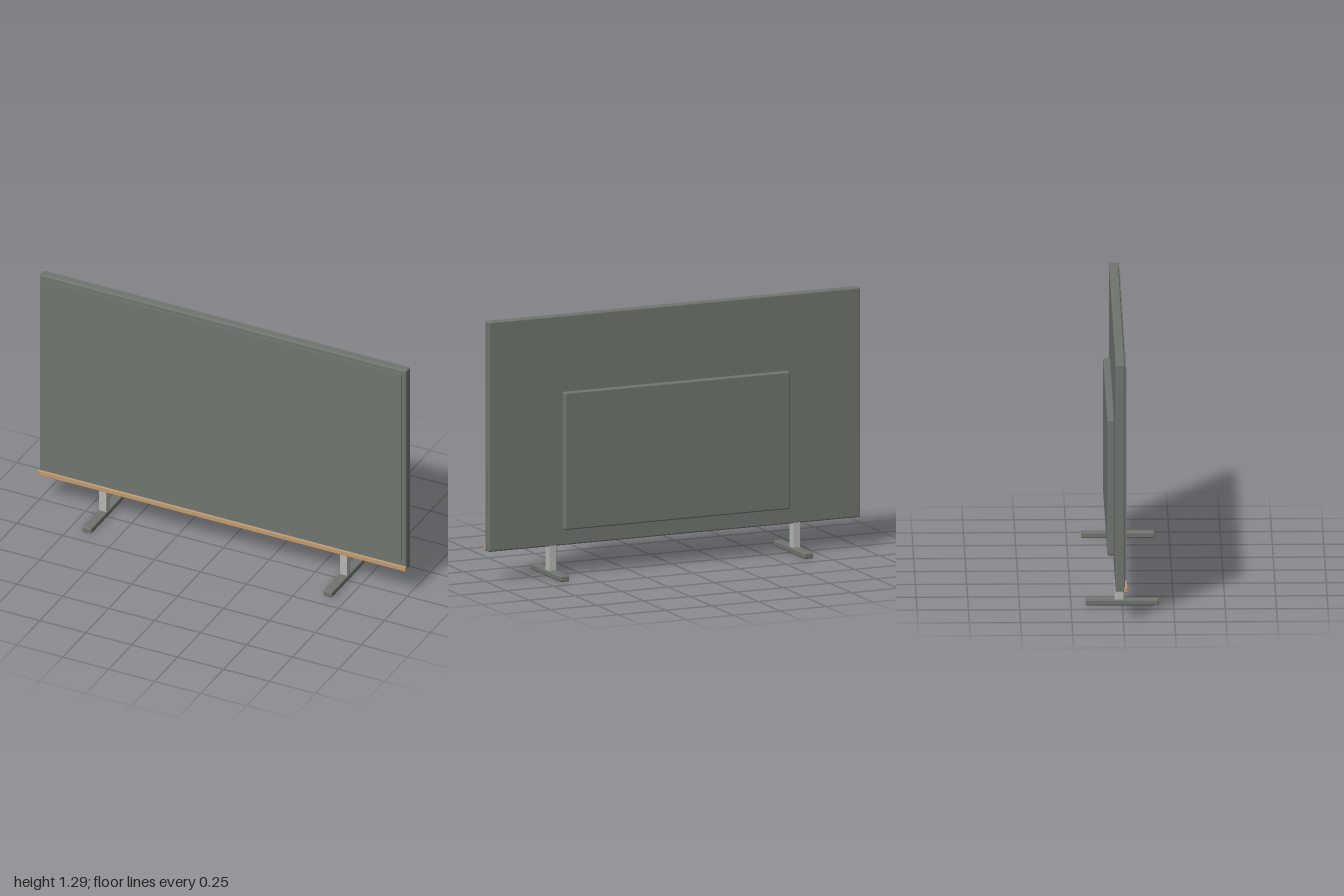
import * as THREE from 'three';
import { RoundedBoxGeometry } from 'three/addons/geometries/RoundedBoxGeometry.js';

function material(name, color) {
  const m = new THREE.MeshStandardMaterial({ color });
  m.name = name;
  return m;
}

export function createModel() {
  const group = new THREE.Group();
  group.name = 'television';

  const charcoal = material('charcoal', 0x6f756f);
  const wood = material('wood', 0xc09a70);
  const metal = material('metal', 0xb6b8b5);

  // Box given by its lower and upper corners, with softly rounded edges
  function block(name, mat, min, max, radius) {
    const size = max.map((v, i) => v - min[i]);
    const geometry = radius
      ? new RoundedBoxGeometry(...size, 2, radius)
      : new THREE.BoxGeometry(...size);
    const mesh = new THREE.Mesh(geometry, mat);
    mesh.name = name;
    mesh.position.set(...max.map((v, i) => (v + min[i]) / 2));
    group.add(mesh);
  }

  // Panel, display surface and rear electronics cover
  block('panelFrame', charcoal, [-0.998, 0.154, -0.038], [0.998, 1.297, 0.009], 0.008);
  block('screen', charcoal, [-0.972, 0.205, 0.007], [0.972, 1.272, 0.015], 0);
  block('rearCover', charcoal, [-0.605, 0.235, -0.072], [0.605, 0.918, -0.034], 0.008);

  // Wooden trim along the lower front edge
  block('woodTrim', wood, [-1, 0.152, 0.004], [1, 0.177, 0.019], 0.003);

  // Two T-shaped legs
  for (const [side, s] of [['left', 1], ['right', -1]]) {
    const x = s * 0.655;
    block(side + 'Post', metal, [x - 0.02, 0.02, -0.037], [x + 0.02, 0.165, 0.006], 0.003);
    block(side + 'Foot', charcoal, [x - 0.025, 0.003, -0.179], [x + 0.025, 0.033, 0.179], 0.007);
  }

  return group;
}
